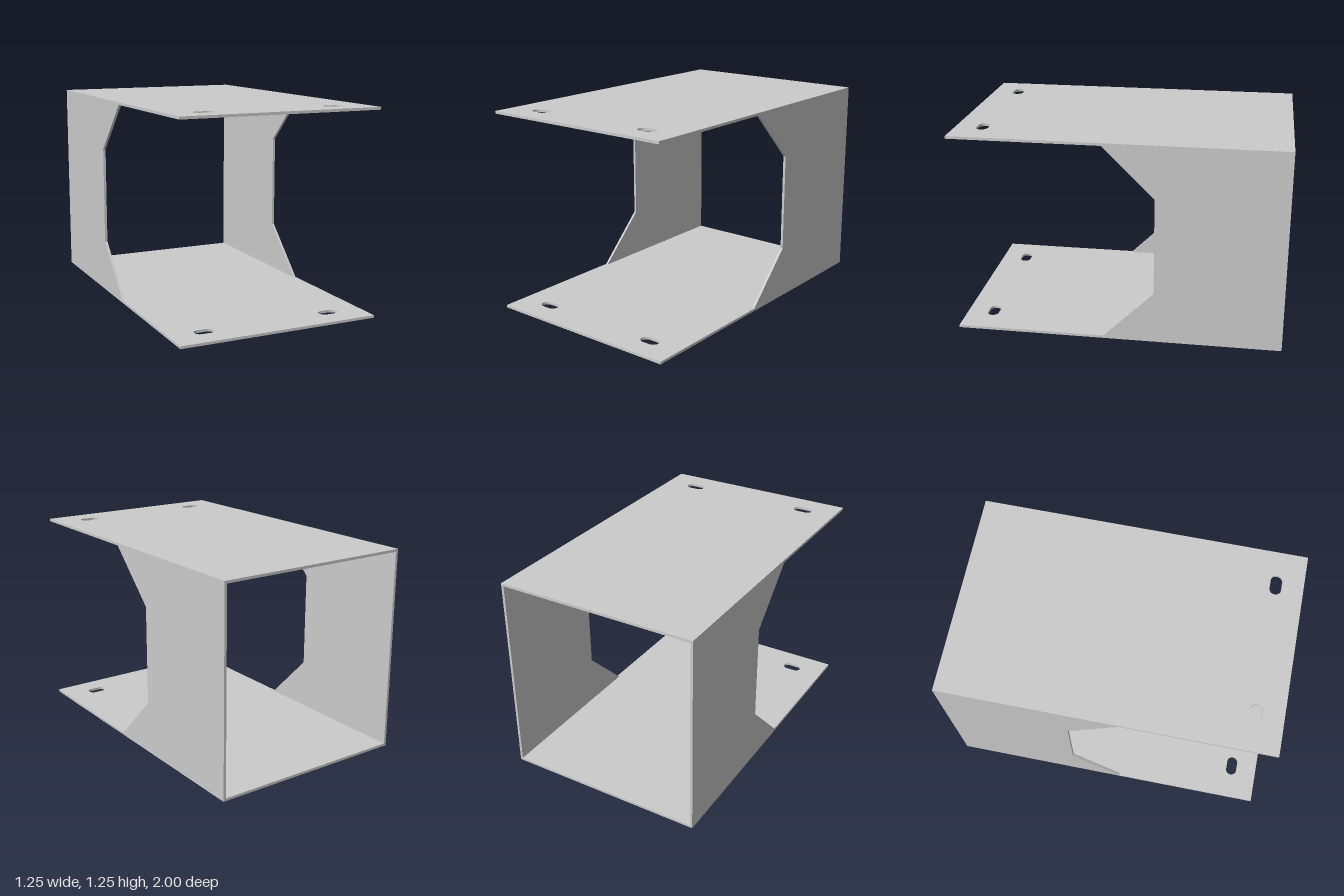
import * as THREE from 'three';

const HALF_W = 0.627, HEIGHT = 1.255, T = 0.016;
const material = new THREE.MeshStandardMaterial({ color: 0xcccccc });

const extrude = (shape) =>
  new THREE.ExtrudeGeometry(shape, { depth: T, bevelEnabled: false, curveSegments: 12 });

// Obround hole, long axis along x
function slot(cx, cz, halfLength, r) {
  const d = halfLength - r;
  const path = new THREE.Path();
  path.absarc(cx + d, cz, r, -Math.PI / 2, Math.PI / 2, false);
  path.absarc(cx - d, cz, r, Math.PI / 2, Math.PI * 1.5, false);
  path.closePath();
  return path;
}

// Horizontal plate with two slots near its front edge; topY is its upper face
function plate(name, topY) {
  const shape = new THREE.Shape([
    new THREE.Vector2(-HALF_W, -1), new THREE.Vector2(HALF_W, -1),
    new THREE.Vector2(HALF_W, 1), new THREE.Vector2(-HALF_W, 1),
  ]);
  for (const s of [-1, 1]) shape.holes.push(slot(s * 0.41, 0.835, 0.062, 0.035));
  const mesh = new THREE.Mesh(extrude(shape).rotateX(Math.PI / 2), material);
  mesh.name = name;
  mesh.position.y = topY;
  return mesh;
}

// Upright wall with a chamfered cut-out at the front; outline is (z, y)
function wall(name, maxX) {
  const shape = new THREE.Shape([
    [-1, T], [0.085, T], [-0.225, 0.325], [-0.225, HEIGHT - 0.325],
    [0.085, HEIGHT - T], [-1, HEIGHT - T],
  ].map(([z, y]) => new THREE.Vector2(z, y)));
  const mesh = new THREE.Mesh(extrude(shape).rotateY(-Math.PI / 2), material);
  mesh.name = name;
  mesh.position.x = maxX;
  return mesh;
}

export function createModel() {
  const group = new THREE.Group();
  group.name = 'boxBracket';
  group.add(
    plate('bottomPlate', T),
    plate('topPlate', HEIGHT),
    wall('leftWall', HALF_W),
    wall('rightWall', -HALF_W + T),
  );
  return group;
}
